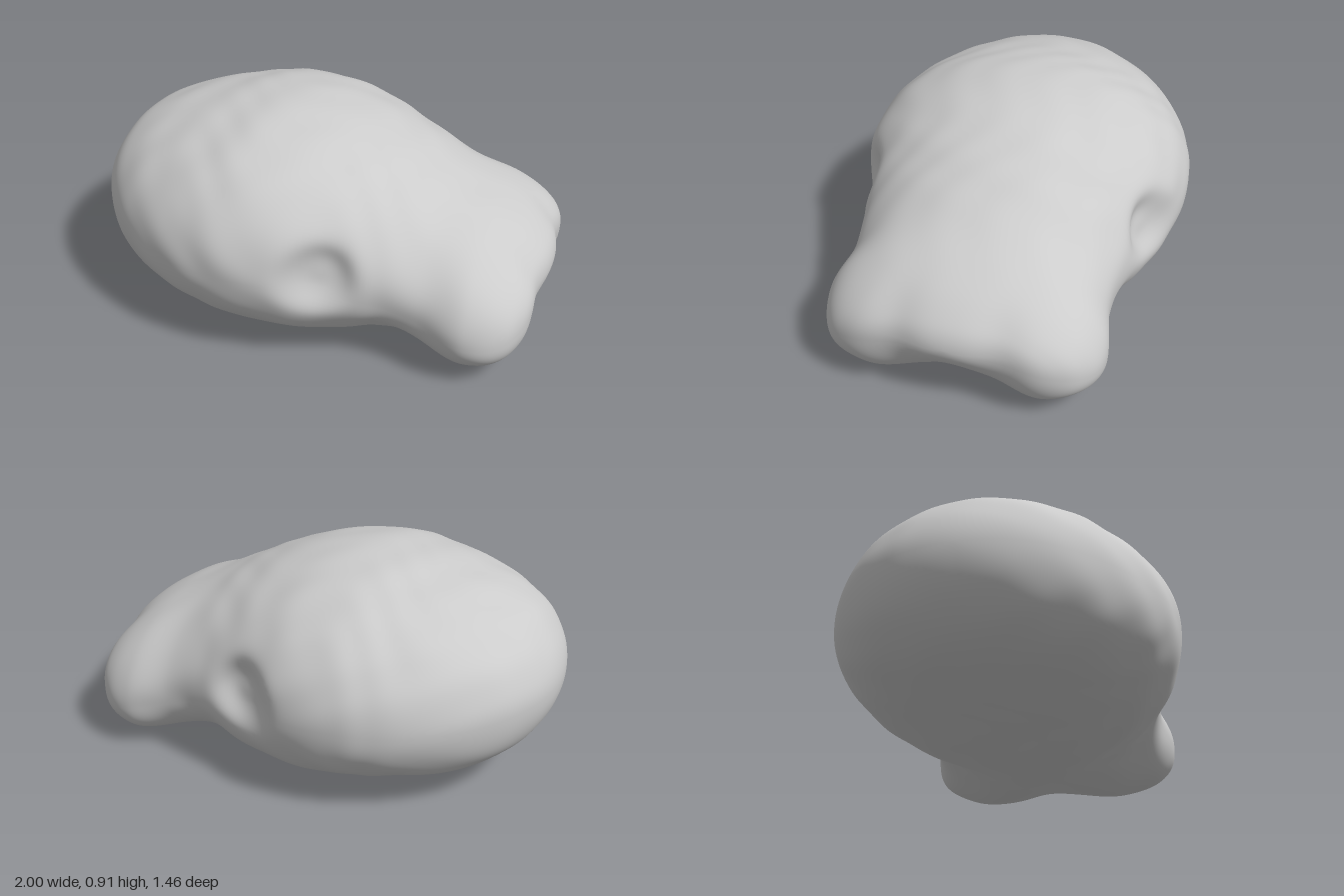
import * as THREE from 'three';
import { mergeVertices } from 'three/addons/utils/BufferGeometryUtils.js';

// Cross-section stations along x: [x, top, bottom, widest height, half width]
const STATIONS = [
  [-1, 0.45, 0.45, 0.45, 0],
  [-0.95, 0.61, 0.28, 0.45, 0.25],
  [-0.85, 0.725, 0.17, 0.44, 0.415],
  [-0.7, 0.80, 0.09, 0.43, 0.555],
  [-0.5, 0.86, 0.045, 0.42, 0.665],
  [-0.2, 0.907, -0.005, 0.42, 0.727],
  [0, 0.89, -0.025, 0.41, 0.705],
  [0.2, 0.835, -0.02, 0.37, 0.645],
  [0.4, 0.745, -0.01, 0.31, 0.58],
  [0.55, 0.665, -0.005, 0.26, 0.56],
  [0.75, 0.575, -0.003, 0.22, 0.585],
  [0.87, 0.505, 0.025, 0.22, 0.54],
  [0.94, 0.445, 0.08, 0.24, 0.46],
  [0.98, 0.395, 0.155, 0.27, 0.33],
  [1, 0.32, 0.32, 0.32, 0],
];
const ANGLES = STATIONS.map((s) => Math.acos(-s[0]));

const bump = (d, r) => Math.exp(-(d * d) / (r * r));
const smooth = THREE.MathUtils.smoothstep;

// Hermite interpolation of one station column by polar angle
function profile(a, col) {
  const n = STATIONS.length;
  let i = 0;
  while (i < n - 2 && a > ANGLES[i + 1]) i++;
  const chord = (k) => (STATIONS[k + 1][col] - STATIONS[k][col]) / (ANGLES[k + 1] - ANGLES[k]);
  const slope = (k) => {
    if (k === 0) return chord(0);
    if (k === n - 1) return chord(n - 2);
    const h0 = ANGLES[k] - ANGLES[k - 1], h1 = ANGLES[k + 1] - ANGLES[k];
    return (chord(k - 1) * h1 + chord(k) * h0) / (h0 + h1);
  };
  const h = ANGLES[i + 1] - ANGLES[i];
  const t = (a - ANGLES[i]) / h, t2 = t * t, t3 = t2 * t;
  return (2 * t3 - 3 * t2 + 1) * STATIONS[i][col] + (t3 - 2 * t2 + t) * h * slope(i)
    + (3 * t2 - 2 * t3) * STATIONS[i + 1][col] + (t3 - t2) * h * slope(i + 1);
}

// Hollows, neck pinch and fine surface ripples
function sculpt(p) {
  const { x, y, z } = p;
  const side = THREE.MathUtils.clamp(z / 0.2, -1, 1);
  const under = 1 - smooth(y, 0.04, 0.35);
  // Round side sockets
  const socket = Math.exp(-Math.pow(Math.hypot(x - 0.16, y - 0.44) / 0.125, 3));
  p.z -= side * 0.08 * socket * smooth(Math.abs(z), 0.3, 0.5);
  // Pinch behind the two snout lobes
  const neck = bump(x - 0.42, 0.19) * (1 - smooth(y, 0, 0.5));
  p.z *= 1 - 0.07 * neck;
  p.y += 0.05 * neck * smooth(Math.abs(z), 0.1, 0.55);
  // Shallow dish in the underside
  p.y += 0.03 * under * bump(x + 0.05, 0.4) * bump(z, 0.28);
  // Sloping hollow between the lobes, with a soft notch each side of the tip
  p.x -= 0.13 * smooth(x, 0.55, 1) * bump(z, 0.22) * (1 - smooth(y, 0, 0.32));
  p.x -= 0.022 * smooth(x, 0.75, 1) * bump(Math.abs(z) - 0.21, 0.1);
  p.y += 0.035 * under * smooth(x, 0.4, 0.75) * bump(z, 0.2);
  // Ripples
  const r = 0.0011 * (Math.sin(23 * x + 9 * z + 2 * Math.sin(13 * y))
    + Math.sin(29 * z - 11 * x + 3 * Math.sin(9 * x)) + Math.sin(31 * y + 17 * x + 12 * z));
  p.y += r * THREE.MathUtils.clamp((y - 0.4) / 0.3, -1, 1);
  p.z += r * side;
  return p;
}

function createBodyGeometry(rings = 140, sides = 180) {
  const positions = [], index = [];
  const p = new THREE.Vector3();
  for (let i = 0; i <= rings; i++) {
    const a = (i / rings) * Math.PI;
    const x = -Math.cos(a);
    const [top, bottom, mid, width] = [1, 2, 3, 4].map((c) => profile(a, c));
    const boxy = smooth(x, 0.2, 0.8);
    for (let j = 0; j < sides; j++) {
      const t = (j / sides) * Math.PI * 2;
      const c = Math.cos(t), s = Math.sin(t);
      // Full ellipse above, flatter below, squarer towards the snout
      const e = s > 0 ? 1 - 0.04 * boxy : 0.89 - 0.12 * boxy;
      const z = width * Math.sign(c) * Math.pow(Math.abs(c), e);
      const k = Math.pow(Math.abs(s), e);
      const y = s > 0 ? mid + (top - mid) * k : mid - (mid - bottom) * k;
      sculpt(p.set(x, y, z));
      positions.push(p.x, p.y, p.z);
      if (i < rings) {
        const q = (j + 1) % sides, b = i * sides, d = b + sides;
        if (i > 0) index.push(b + j, d + j, b + q);
        if (i < rings - 1) index.push(b + q, d + j, d + q);
      }
    }
  }
  let g = new THREE.BufferGeometry();
  g.setAttribute('position', new THREE.Float32BufferAttribute(positions, 3));
  g.setIndex(index);
  g = mergeVertices(g, 1e-5);
  // Stand on the ground, centred
  g.computeBoundingBox();
  const c = g.boundingBox.getCenter(new THREE.Vector3());
  g.translate(-c.x, -g.boundingBox.min.y, -c.z);
  g.computeVertexNormals();
  return g;
}

export function createModel() {
  const group = new THREE.Group();
  group.name = 'lobedBlob';
  const body = new THREE.Mesh(
    createBodyGeometry(),
    new THREE.MeshStandardMaterial({ color: 0xcccccc }),
  );
  body.name = 'body';
  group.add(body);
  return group;
}
